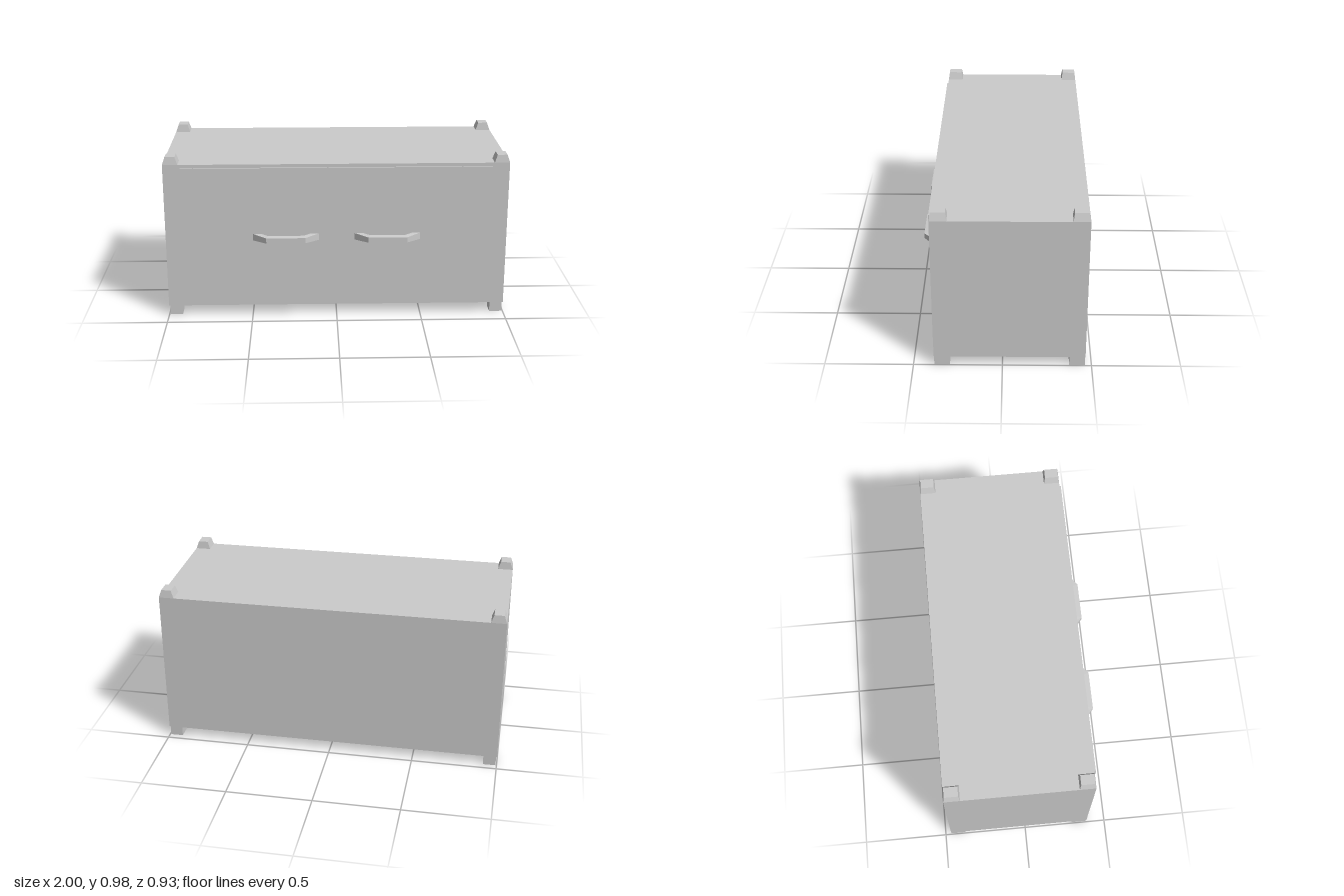
import * as THREE from 'three';

export function createModel() {
  const group = new THREE.Group();
  const material = new THREE.MeshStandardMaterial({ color: 0xcccccc, flatShading: true });

  const add = (name, geometry, x, y, z) => {
    const mesh = new THREE.Mesh(geometry, material);
    mesh.name = name;
    mesh.position.set(x, y, z);
    group.add(mesh);
    return mesh;
  };

  // Box with its top face shrunk about its own centre
  const taperedBox = (w, h, d, topW, topD) => {
    const geometry = new THREE.BoxGeometry(w, h, d);
    const p = geometry.attributes.position;
    for (let i = 0; i < p.count; i++) {
      if (p.getY(i) > 0) {
        p.setX(i, Math.sign(p.getX(i)) * topW / 2);
        p.setZ(i, Math.sign(p.getZ(i)) * topD / 2);
      }
    }
    geometry.computeVertexNormals();
    return geometry;
  };

  // Cabinet body and raised front panel
  add('body', new THREE.BoxGeometry(2, 0.872, 0.85), 0, 0.494, -0.04);
  add('frontPanel', new THREE.BoxGeometry(1.8, 0.84, 0.02), 0, 0.49, 0.385);

  // Stacking knobs on top and feet below, one per corner
  const knob = taperedBox(0.088, 0.045, 0.093, 0.057, 0.079);
  const foot = new THREE.BoxGeometry(0.074, 0.057, 0.088);
  for (const x of [-1, 1]) {
    for (const z of [-1, 1]) {
      add('stackingKnob', knob, x * 0.956, 0.9525, -0.04 + z * 0.3785);
      add('foot', foot, x * 0.957, 0.0285, -0.04 + z * 0.379);
    }
  }

  // Bent handle: plan outline extruded upward, slimmer along its outer face
  const outline = new THREE.Shape([
    [-0.193, 0], [-0.145, 0], [-0.103, 0.039], [0.103, 0.039],
    [0.145, 0], [0.193, 0], [0.113, 0.07], [-0.113, 0.07],
  ].map(([x, z]) => new THREE.Vector2(x, z)));
  const handle = new THREE.ExtrudeGeometry(outline, { depth: 0.04, bevelEnabled: false });
  handle.translate(0, 0, -0.02).rotateX(Math.PI / 2);
  const p = handle.attributes.position;
  for (let i = 0; i < p.count; i++) {
    if (p.getZ(i) > 0.06) p.setY(i, p.getY(i) * 0.8);
  }
  handle.computeVertexNormals();
  for (const x of [-0.297, 0.297]) add('handle', handle, x, 0.491, 0.395);

  return group;
}
